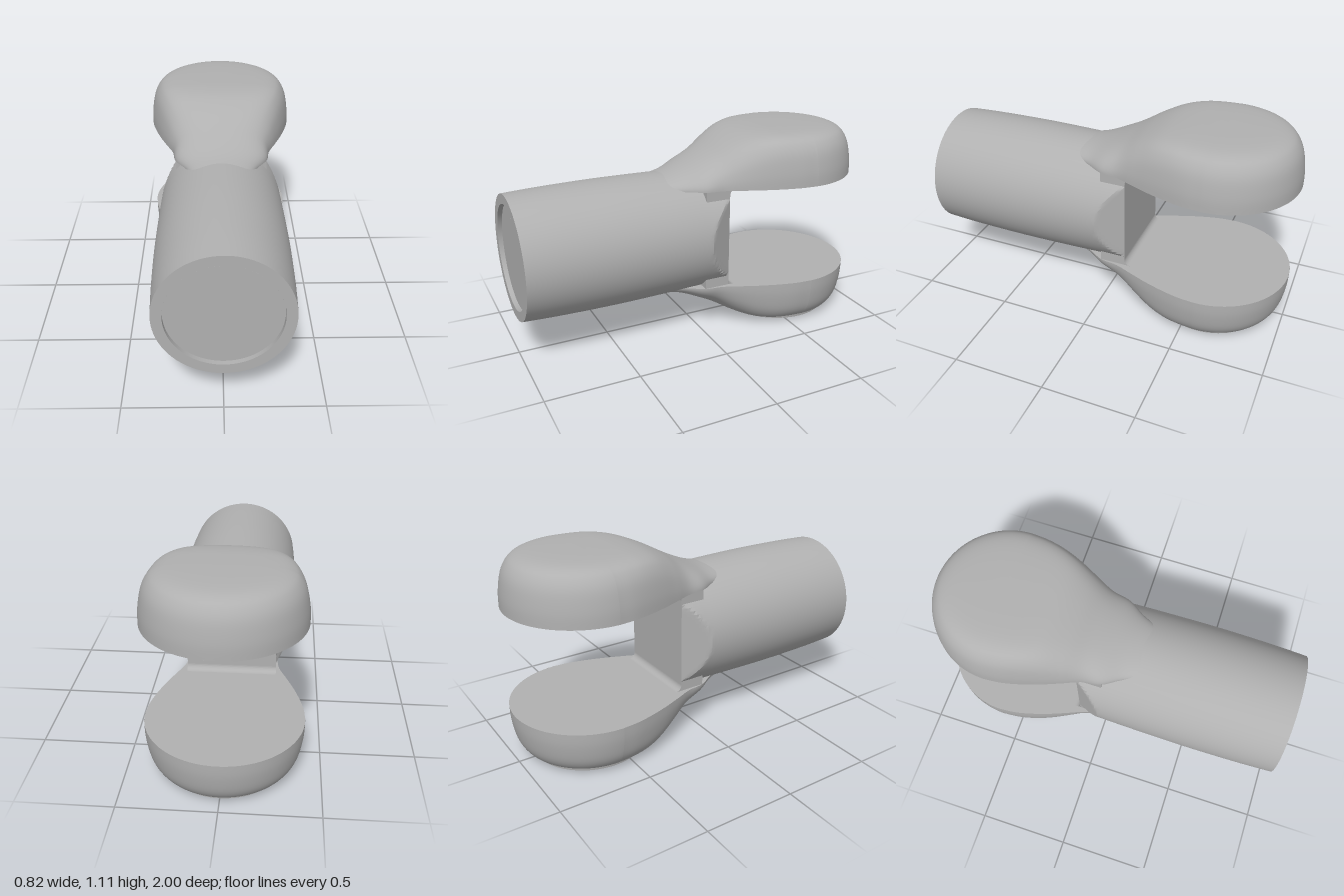
import * as THREE from 'three';
import { toCreasedNormals } from 'three/addons/utils/BufferGeometryUtils.js';

const MID = 0.555;      // height of the barrel axis
const INNER = 0.835;    // underside of the upper prong
const EYE_Z = -0.59;    // centre of the round prong end
const EYE_R = 0.41;

const v2 = (pts) => pts.map(([a, b]) => new THREE.Vector2(a, b));

// domed edge profile of a prong, from the rim to the crown
const dome = new THREE.SplineCurve(v2([
  [0.41, 0.835], [0.407, 0.91], [0.39, 1.0], [0.362, 1.055],
  [0.325, 1.085], [0.26, 1.102], [0.14, 1.109], [0, 1.11],
])).getPoints(28);

// neck: half width, top height, z
const neck = new THREE.CatmullRomCurve3([
  [0.15, 0.885, 0.2], [0.19, 0.908, 0.1], [0.25, 0.947, 0],
  [0.268, 0.997, -0.1], [0.308, 1.052, -0.2], [0.347, 1.09, -0.3],
  [0.379, 1.105, -0.4], [0.402, 1.109, -0.5], [0.41, 1.11, EYE_Z],
].map((p) => new THREE.Vector3(...p))).getPoints(48);

// loft from the barrel to the round end, going from oval to domed sections
function neckGeometry() {
  const pos = [], idx = [], n = dome.length - 1, cols = 2 * n + 1;
  neck.forEach(({ x: w, y: top, z }, i) => {
    const s = THREE.MathUtils.smoothstep(-z, -0.1, 0.45);
    for (let j = 0; j < cols; j++) {
      const k = j <= n ? j : 2 * n - j;
      const a = (k / n) * Math.PI / 2;
      const u = THREE.MathUtils.lerp(Math.cos(a), dome[k].x / EYE_R, s);
      const v = THREE.MathUtils.lerp(Math.sin(a), (dome[k].y - INNER) / (1.11 - INNER), s);
      pos.push((j <= n ? 1 : -1) * u * w, INNER + v * (top - INNER), z);
      if (i && j) {
        const d = i * cols + j, c = d - 1, b = d - cols, e = b - 1;
        idx.push(e, c, b, b, c, d);
      }
    }
  });
  const g = new THREE.BufferGeometry();
  g.setAttribute('position', new THREE.Float32BufferAttribute(pos, 3));
  g.setIndex(idx);
  g.computeVertexNormals();
  return g;
}

// flat inner face, outlined by the neck and the round end
function innerFaceGeometry() {
  const pts = neck.map((p) => new THREE.Vector2(p.x, p.z));
  for (let i = 1; i < 48; i++) {
    const a = (i / 48) * Math.PI;
    pts.push(new THREE.Vector2(EYE_R * Math.cos(a), EYE_Z - EYE_R * Math.sin(a)));
  }
  for (let i = neck.length - 1; i >= 0; i--) pts.push(new THREE.Vector2(-neck[i].x, neck[i].z));
  return new THREE.ShapeGeometry(new THREE.Shape(pts)).rotateX(Math.PI / 2).translate(0, INNER, 0);
}

// barrel turned about z, its back end chamfered on both sides
function barrelGeometry() {
  const pts = new THREE.SplineCurve(v2([
    [0.336, 0], [0.341, 0.2], [0.345, 0.5], [0.341, 0.8], [0.333, 1],
  ])).getPoints(24);
  for (let i = 1; i <= 8; i++) pts.unshift(new THREE.Vector2(0.336, -0.139 * i / 8));
  const g = new THREE.LatheGeometry(pts, 96).rotateX(Math.PI / 2);
  const p = g.attributes.position;
  for (let i = 0; i < p.count; i++) {
    const z = p.getZ(i);
    if (z >= 0) continue;
    const limit = 0.336 + z * 0.62;
    p.setX(i, THREE.MathUtils.clamp(p.getX(i), -limit, limit));
  }
  g.computeVertexNormals();
  return toCreasedNormals(g, 0.4);
}

export function createModel() {
  const model = new THREE.Group();
  model.name = 'forkEnd';
  const grey = new THREE.MeshStandardMaterial({ color: 0xb0b0b0, side: THREE.DoubleSide });
  grey.name = 'grey';
  const add = (parent, name, geometry, x = 0, y = 0, z = 0) => {
    const m = new THREE.Mesh(geometry, grey);
    m.name = name;
    m.position.set(x, y, z);
    parent.add(m);
    return m;
  };

  // barrel with a shallow recess in its front face
  add(model, 'barrel', barrelGeometry(), 0, MID, 0);
  add(model, 'frontRim', new THREE.RingGeometry(0.28, 0.333, 96), 0, MID, 1);
  add(model, 'recessWall', new THREE.CylinderGeometry(0.28, 0.28, 0.025, 64, 1, true)
    .rotateX(Math.PI / 2), 0, MID, 0.9875);
  add(model, 'recessFloor', new THREE.CircleGeometry(0.28, 64), 0, MID, 0.975);

  // web closing the slot between the prongs
  add(model, 'web', new THREE.BoxGeometry(0.498, 0.58, 0.14), 0, MID, -0.07);

  // rounded inside corner where a prong meets the web
  const corner = new THREE.Shape();
  corner.moveTo(0, 0.005);
  corner.lineTo(0, -0.035);
  corner.absarc(0.035, -0.035, 0.035, Math.PI, Math.PI / 2, true);
  corner.lineTo(0.035, 0.005);
  const filletGeo = new THREE.ExtrudeGeometry(corner, { depth: 0.5, bevelEnabled: false, curveSegments: 8 })
    .rotateY(Math.PI / 2).translate(-0.25, INNER, -0.14);

  const neckGeo = neckGeometry();
  const endGeo = new THREE.LatheGeometry(dome, 64, Math.PI / 2, Math.PI).translate(0, 0, EYE_Z);
  const faceGeo = innerFaceGeometry();

  // two matching prongs, the lower one turned half round about the axis
  for (const side of ['upper', 'lower']) {
    const prong = new THREE.Group();
    prong.name = side + 'Prong';
    add(prong, side + 'Neck', neckGeo);
    add(prong, side + 'RoundEnd', endGeo);
    add(prong, side + 'InnerFace', faceGeo);
    add(prong, side + 'Fillet', filletGeo);
    if (side === 'lower') {
      prong.rotation.z = Math.PI;
      prong.position.y = 2 * MID;
    }
    model.add(prong);
  }

  // flat round pad under the lower prong
  add(model, 'bottomPad', new THREE.CylinderGeometry(0.316, 0.312, 0.028, 64), 0, 0.016, EYE_Z);
  add(model, 'bottomDisc', new THREE.CylinderGeometry(0.215, 0.215, 0.004, 64), 0, 0.002, EYE_Z);

  return model;
}
